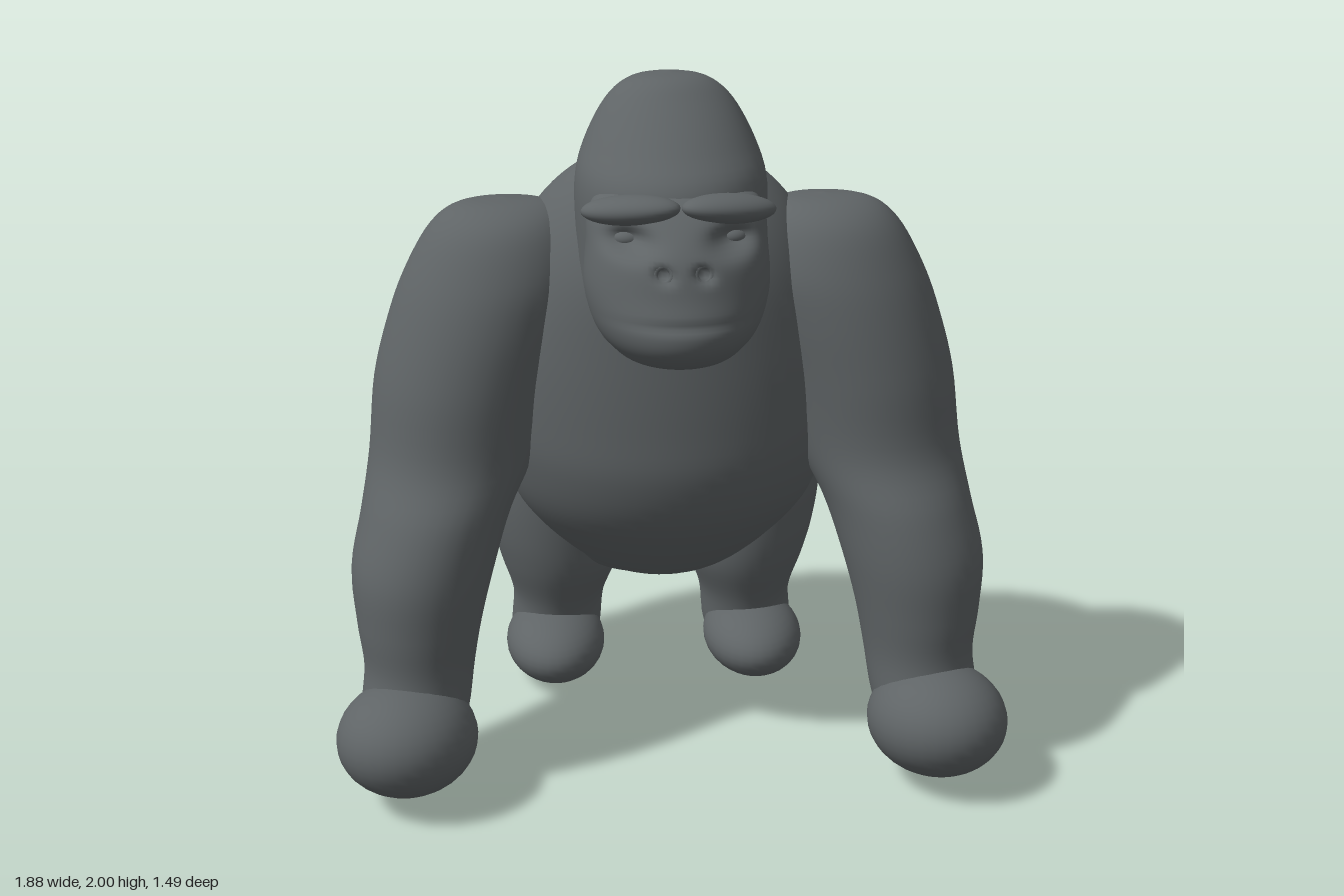
import * as THREE from 'three';

const fur = new THREE.MeshStandardMaterial({ color: 0x5f6466, roughness: 0.9 });

// Smooth skin through level ellipses, listed top down: [y, centreX, centreZ, radiusX, radiusZ]
function loft(sections, side = 1, around = 40, steps = 5) {
  const curve = (points) => new THREE.CatmullRomCurve3(points, false, 'catmullrom', 0.5);
  const centres = curve(sections.map(([y, x, z]) => new THREE.Vector3(x * side, y, z)));
  const radii = curve(sections.map((s) => new THREE.Vector3(s[3], s[4], 0)));
  const rings = (sections.length - 1) * steps;
  const positions = [];
  const index = [];
  for (let i = 0; i <= rings; i++) {
    const c = centres.getPoint(i / rings);
    const r = radii.getPoint(i / rings);
    for (let j = 0; j < around; j++) {
      const a = (j / around) * Math.PI * 2;
      positions.push(c.x + Math.max(r.x, 0) * Math.cos(a), c.y, c.z + Math.max(r.y, 0) * Math.sin(a));
      if (i === rings) continue;
      const p = i * around + j;
      const q = i * around + ((j + 1) % around);
      index.push(p, q, p + around, q, q + around, p + around);
    }
  }
  const geometry = new THREE.BufferGeometry();
  geometry.setAttribute('position', new THREE.Float32BufferAttribute(positions, 3));
  geometry.setIndex(index);
  geometry.computeVertexNormals();
  return geometry;
}

// Press soft hollows into the front of a surface: [x, y, radiusX, radiusY, depth]
function pressHollows(geometry, hollows) {
  const p = geometry.attributes.position;
  for (let i = 0; i < p.count; i++) {
    if (p.getZ(i) < 0.5) continue;
    let z = p.getZ(i);
    for (const [x, y, rx, ry, depth] of hollows) {
      const d = ((Math.abs(p.getX(i)) - x) / rx) ** 2 + ((p.getY(i) - y) / ry) ** 2;
      z -= depth * Math.exp(-d);
    }
    p.setZ(i, z);
  }
  geometry.computeVertexNormals();
  return geometry;
}

export function createModel() {
  const model = new THREE.Group();
  model.name = 'gorilla';

  const add = (name, geometry) => {
    const mesh = new THREE.Mesh(geometry, fur);
    mesh.name = name;
    model.add(mesh);
    return mesh;
  };
  const addBall = (name, position, radii, rotation = [0, 0, 0]) => {
    const mesh = add(name, new THREE.SphereGeometry(1, 32, 20));
    mesh.position.set(...position);
    mesh.scale.set(...radii);
    mesh.rotation.set(...rotation);
  };

  // Chest, back and belly
  add('torso', loft([
    [1.80, 0, 0.12, 0, 0], [1.78, 0, 0.10, 0.14, 0.10], [1.71, 0, 0.08, 0.27, 0.20],
    [1.60, 0, 0.06, 0.37, 0.30], [1.45, 0, 0.05, 0.44, 0.36], [1.25, 0, 0.02, 0.50, 0.40],
    [1.05, 0, 0.02, 0.50, 0.40], [0.90, 0, 0.02, 0.47, 0.39], [0.75, 0, -0.01, 0.42, 0.36],
    [0.60, 0, -0.06, 0.30, 0.28], [0.51, 0, -0.08, 0.17, 0.17], [0.48, 0, -0.08, 0, 0],
  ], 1, 56));

  // Rump
  add('pelvis', loft([
    [1.24, 0, -0.34, 0, 0], [1.22, 0, -0.35, 0.14, 0.10], [1.15, 0, -0.36, 0.28, 0.20],
    [1.05, 0, -0.36, 0.37, 0.30], [0.92, 0, -0.37, 0.42, 0.35], [0.80, 0, -0.38, 0.43, 0.37],
    [0.65, 0, -0.38, 0.42, 0.345], [0.50, 0, -0.38, 0.36, 0.27], [0.39, 0, -0.38, 0.21, 0.17],
    [0.35, 0, -0.38, 0, 0],
  ], 1, 56));

  // Domed head running down into the neck
  add('head', loft([
    [2.00, 0, 0.21, 0, 0], [1.985, 0, 0.21, 0.10, 0.09], [1.93, 0, 0.22, 0.17, 0.15],
    [1.82, 0, 0.245, 0.23, 0.235], [1.72, 0, 0.28, 0.255, 0.28], [1.55, 0, 0.28, 0.25, 0.29],
    [1.40, 0, 0.27, 0.24, 0.27], [1.28, 0, 0.24, 0.21, 0.21], [1.22, 0, 0.22, 0.12, 0.15],
    [1.20, 0, 0.22, 0, 0],
  ]));

  // Muzzle with eye sockets, nostrils and a faint mouth crease
  add('face', pressHollows(loft([
    [1.75, 0, 0.42, 0, 0], [1.735, 0, 0.43, 0.17, 0.11], [1.69, 0, 0.45, 0.225, 0.165],
    [1.60, 0, 0.47, 0.235, 0.22], [1.50, 0, 0.48, 0.24, 0.24], [1.41, 0, 0.48, 0.22, 0.265],
    [1.35, 0, 0.49, 0.18, 0.23], [1.31, 0, 0.50, 0.12, 0.15], [1.295, 0, 0.50, 0, 0],
  ], 1, 112, 9), [
    [0.13, 1.635, 0.055, 0.03, 0.06], [0.05, 1.565, 0.02, 0.016, 0.035], [0, 1.44, 0.14, 0.012, 0.008],
  ]));

  for (const [side, label] of [[1, 'left'], [-1, 'right']]) {
    // Brow ridge, eye and nostril rim
    addBall(label + 'Brow', [side * 0.125, 1.705, 0.565], [0.13, 0.038, 0.062], [0, side * 0.35, -side * 0.08]);
    addBall(label + 'Eye', [side * 0.13, 1.632, 0.55], [0.042, 0.025, 0.035]);
    const rim = add(label + 'Nostril', new THREE.TorusGeometry(0.022, 0.008, 8, 20));
    rim.position.set(side * 0.05, 1.565, 0.68);
    rim.rotation.set(-0.2, side * 0.2, 0);

    // Shoulder, arm and wrist
    add(label + 'Arm', loft([
      [1.645, 0.44, 0.10, 0, 0], [1.63, 0.44, 0.10, 0.13, 0.10], [1.57, 0.45, 0.10, 0.20, 0.18],
      [1.45, 0.47, 0.10, 0.25, 0.235], [1.32, 0.51, 0.10, 0.26, 0.265], [1.15, 0.56, 0.11, 0.255, 0.275],
      [0.95, 0.60, 0.15, 0.235, 0.25], [0.80, 0.65, 0.215, 0.21, 0.25], [0.65, 0.69, 0.27, 0.20, 0.23],
      [0.50, 0.705, 0.30, 0.175, 0.20], [0.37, 0.71, 0.315, 0.155, 0.18], [0.24, 0.725, 0.35, 0.15, 0.17],
      [0.13, 0.73, 0.37, 0.12, 0.15], [0.07, 0.73, 0.39, 0.08, 0.10], [0.05, 0.73, 0.40, 0, 0],
    ], side));
    addBall(label + 'Hand', [side * 0.745, 0.20, 0.45], [0.195, 0.16, 0.22], [-0.15, side * 0.12, 0]);

    // Thigh, shin and foot
    add(label + 'Leg', loft([
      [1.08, 0.26, -0.40, 0, 0], [1.05, 0.265, -0.40, 0.11, 0.12], [0.98, 0.28, -0.41, 0.18, 0.19],
      [0.83, 0.295, -0.42, 0.225, 0.245], [0.65, 0.31, -0.42, 0.22, 0.25], [0.50, 0.305, -0.42, 0.205, 0.24],
      [0.38, 0.295, -0.43, 0.185, 0.225], [0.25, 0.30, -0.46, 0.145, 0.20], [0.12, 0.31, -0.465, 0.14, 0.17],
      [0.04, 0.31, -0.46, 0.10, 0.13], [0.015, 0.31, -0.45, 0, 0],
    ], side));
    addBall(label + 'Foot', [side * 0.315, 0.12, -0.34], [0.155, 0.115, 0.235]);
  }
  return model;
}
